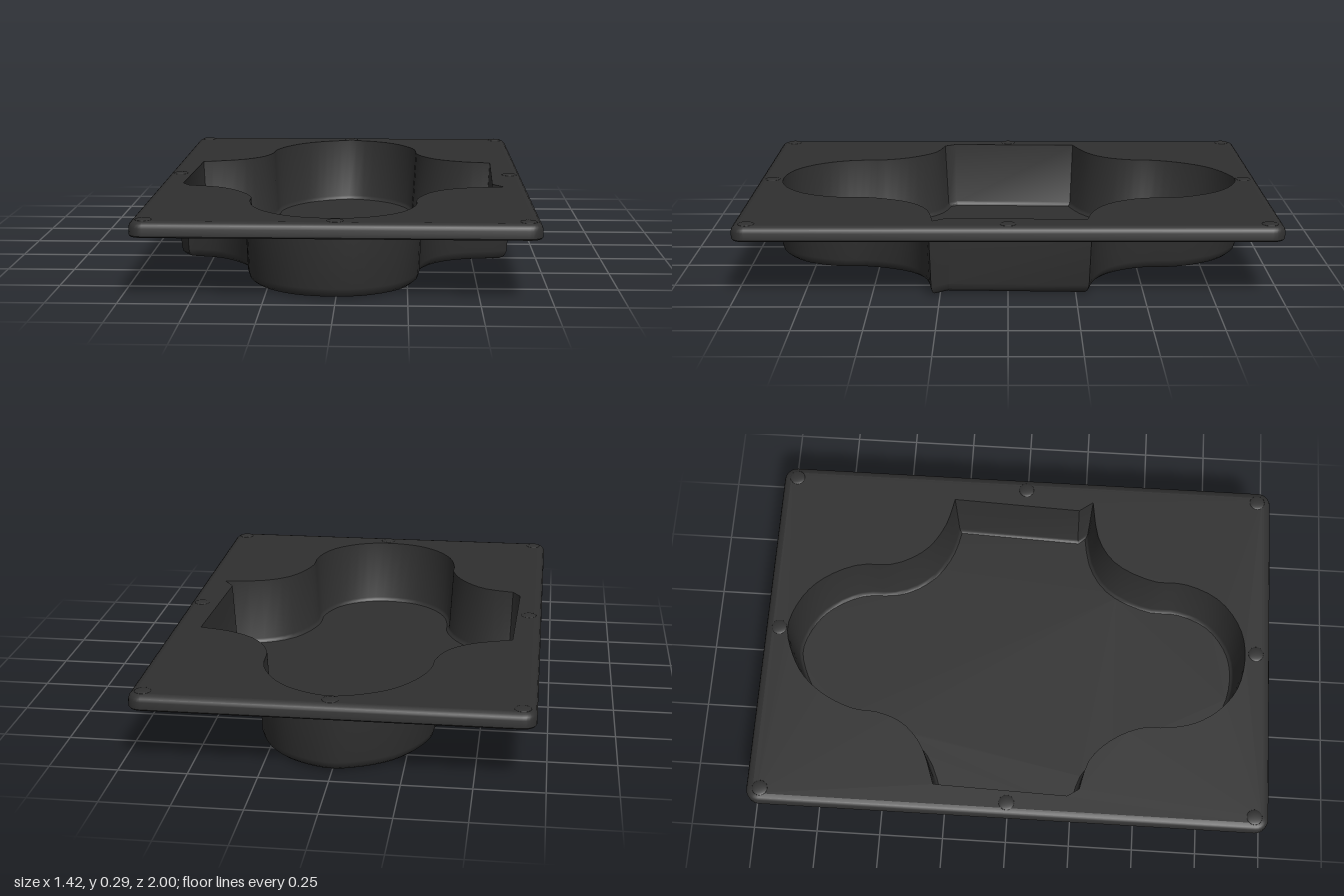
import * as THREE from 'three';
import { toCreasedNormals } from 'three/addons/utils/BufferGeometryUtils.js';

const V = (x, z) => new THREE.Vector2(x, z);
const spline = (pts) => new THREE.SplineCurve(pts.map((p) => V(...p))).getPoints(pts.length * 3);

// Basin outline in (x, z): two curved lobes joined by straight sides with sharp corners
const backLobe = spline([
  [0.6, -0.29], [0.48, -0.32], [0.37, -0.39], [0.3, -0.51], [0.285, -0.66], [0.22, -0.79],
  [0.13, -0.87], [0.01, -0.912], [-0.1, -0.885], [-0.2, -0.825], [-0.275, -0.73], [-0.32, -0.62],
  [-0.33, -0.52], [-0.37, -0.42], [-0.46, -0.34], [-0.605, -0.285],
]);
const frontLobe = spline([
  [-0.59, 0.275], [-0.47, 0.31], [-0.38, 0.4], [-0.33, 0.51], [-0.325, 0.6], [-0.3, 0.71],
  [-0.235, 0.81], [-0.135, 0.88], [0, 0.903], [0.12, 0.875], [0.225, 0.79], [0.28, 0.66],
  [0.287, 0.53], [0.35, 0.385], [0.46, 0.305], [0.62, 0.275],
]);
const basinOutline = [...backLobe, V(-0.62, 0.23), ...frontLobe, V(0.58, 0.22)];

// Rounded rectangle, running the same way round as the basin
function plateOutline(w, d, r) {
  const pts = [];
  const corners = [[1, -1, 0], [-1, -1, 1], [-1, 1, 2], [1, 1, 3]];
  for (const [sx, sz, q] of corners) {
    for (let i = 0; i <= 6; i++) {
      const a = (q + i / 6) * Math.PI / 2;
      pts.push(V(sx * (w - r) + r * Math.cos(a), sz * (d - r) - r * Math.sin(a)));
    }
  }
  return pts;
}

// Move an outline outward (positive) or inward (negative), with limited mitres
function offset(pts, amount) {
  const n = pts.length;
  const normal = (a, b) => {
    const d = b.clone().sub(a).normalize();
    return V(-d.y, d.x);
  };
  return pts.map((p, i) => {
    const n1 = normal(pts[(i + n - 1) % n], p);
    const n2 = normal(p, pts[(i + 1) % n]);
    const m = n1.clone().add(n2).normalize();
    return p.clone().addScaledVector(m, amount / Math.max(0.6, m.dot(n1)));
  });
}

// Sweep a profile of [offset, height] pairs around an outline
function loft(outline, profile) {
  const n = outline.length, pos = [], idx = [];
  profile.forEach(([o, y]) => offset(outline, o).forEach((p) => pos.push(p.x, y, p.y)));
  for (let k = 0; k < profile.length - 1; k++) {
    for (let i = 0; i < n; i++) {
      const a = k * n + i, b = k * n + (i + 1) % n;
      idx.push(a, b, b + n, a, b + n, a + n);
    }
  }
  const g = new THREE.BufferGeometry();
  g.setAttribute('position', new THREE.Float32BufferAttribute(pos, 3));
  g.setIndex(idx);
  return toCreasedNormals(g, 0.65);
}

// Flat horizontal face, optionally with a hole
function face(outline, y, up, hole) {
  const s = up ? -1 : 1;
  const flat = (pts) => pts.map((p) => V(p.x, s * p.y));
  const shape = new THREE.Shape(flat(outline));
  if (hole) shape.holes.push(new THREE.Path(flat(hole)));
  return new THREE.ShapeGeometry(shape).rotateX(s * Math.PI / 2).translate(0, y, 0);
}

export function createModel() {
  const model = new THREE.Group();
  model.name = 'recessedTray';
  const plastic = new THREE.MeshStandardMaterial({ color: 0x303030 });
  plastic.name = 'charcoal plastic';
  plastic.side = THREE.DoubleSide;
  const add = (name, geometry) => {
    const mesh = new THREE.Mesh(geometry, plastic);
    mesh.name = name;
    model.add(mesh);
    return mesh;
  };

  // Top plate with a rounded, downturned rim
  const plate = plateOutline(0.71, 1, 0.05);
  add('plateRim', loft(plate, [
    [-0.045, 0.258], [-0.032, 0.236], [-0.025, 0.23], [-0.004, 0.23], [0, 0.235],
    [0, 0.262], [-0.004, 0.273], [-0.012, 0.281], [-0.028, 0.285],
  ]));
  add('plateTop', face(offset(plate, -0.028), 0.285, true, basinOutline));
  add('plateUnderside', face(offset(plate, -0.045), 0.258, false, offset(basinOutline, 0.02)));

  // Basin shell, outside and inside
  add('basinOuterWall', loft(basinOutline, [
    [-0.024, 0], [-0.008, 0.004], [0.004, 0.014], [0.01, 0.035], [0.02, 0.258],
  ]));
  add('basinUnderside', face(offset(basinOutline, -0.024), 0, false));
  add('basinInnerWall', loft(basinOutline, [
    [0, 0.285], [-0.014, 0.03], [-0.018, 0.02], [-0.026, 0.014],
  ]));
  add('basinFloor', face(offset(basinOutline, -0.026), 0.014, true));

  // Low domes around the plate edge
  const dome = new THREE.SphereGeometry(0.03, 20, 6, 0, Math.PI * 2, 0, Math.PI / 2).scale(1, 0.18, 1);
  for (const x of [-0.66, 0, 0.66]) {
    for (const z of [-0.945, 0, 0.945]) {
      if (x === 0 && z === 0) continue;
      add('edgeDome', dome).position.set(x, 0.2845, z);
    }
  }
  return model;
}
